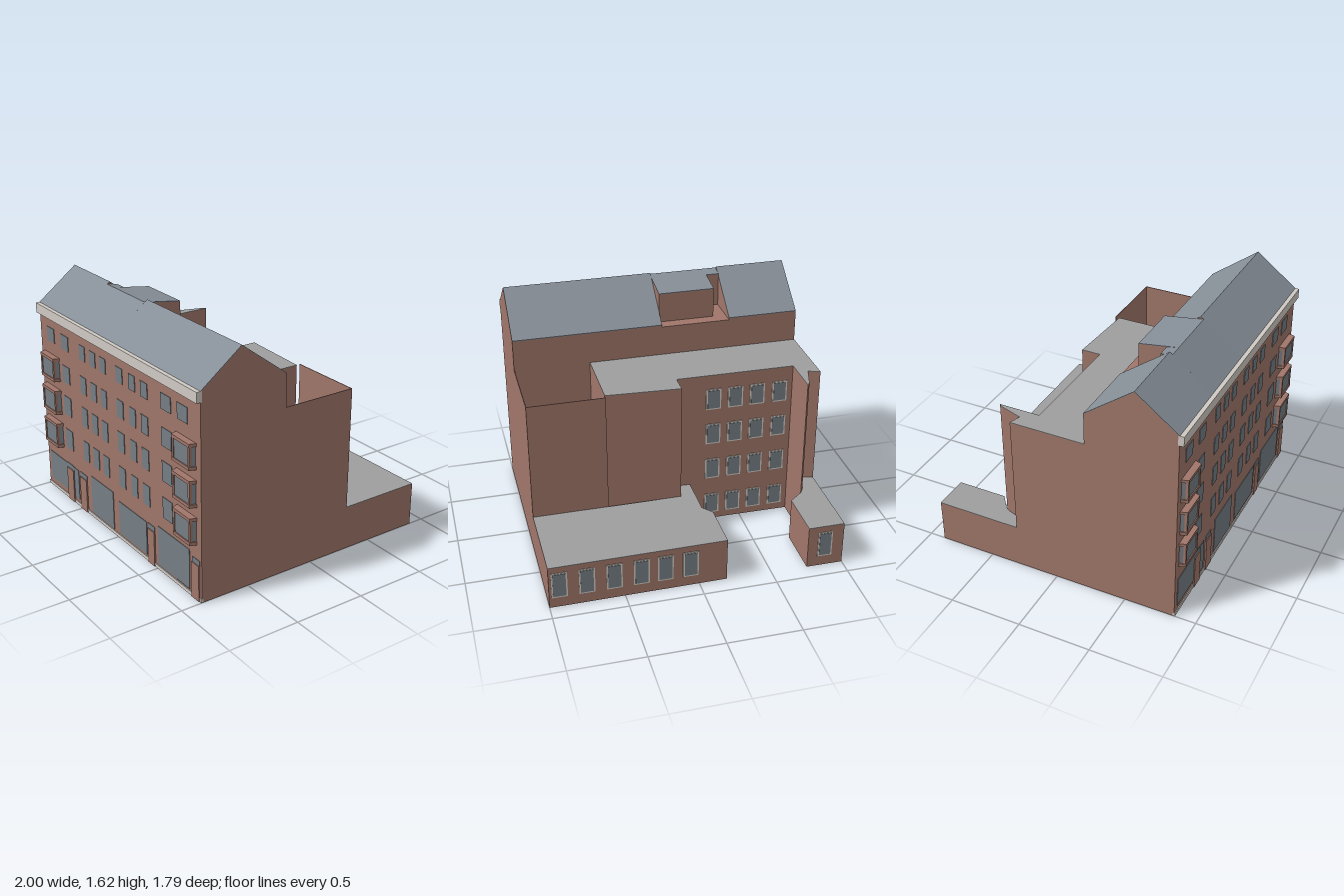
import * as THREE from 'three';

const mat = (name, color) => Object.assign(new THREE.MeshStandardMaterial({ color }), { name });

export function createModel() {
  const group = new THREE.Group();
  const brick = mat('brick', 0xa0766a);
  const slate = mat('slate', 0x868e97);
  const flatRoof = mat('flatRoof', 0x9e9e9e);
  const cream = mat('cream', 0xd0cac4);
  const glass = mat('glass', 0x757e84);

  const add = (name, geometry, material) => {
    const mesh = new THREE.Mesh(geometry, material);
    mesh.name = name;
    group.add(mesh);
    return mesh;
  };
  // box given by its extents
  const box = (name, m, x0, x1, y0, y1, z0, z1) => add(name,
    new THREE.BoxGeometry(x1 - x0, y1 - y0, z1 - z0)
      .translate((x0 + x1) / 2, (y0 + y1) / 2, (z0 + z1) / 2), m);
  const extrude = (pts, depth) => new THREE.ExtrudeGeometry(
    new THREE.Shape(pts.map(([a, b]) => new THREE.Vector2(a, b))), { depth, bevelEnabled: false });
  // side profile of [z, y] points swept along x
  const section = (name, m, pts, x0, x1) => add(name,
    extrude(pts.map(([z, y]) => [-z, y]), x1 - x0).rotateY(Math.PI / 2).translate(x0, 0, 0), m);
  // footprint of [x, z] points raised from y0 to y1
  const prism = (name, m, pts, y0, y1) => add(name,
    extrude(pts.map(([x, z]) => [x, -z]), y1 - y0).rotateX(-Math.PI / 2).translate(0, y0, 0), m);

  // Main house: gabled bays, with a roof terrace and dormer cut into the middle
  const F = 0.85, B = 0.225;
  const ridge = [0.56, 1.62], frontEave = [F, 1.4], backEave = [B, 1.37], cut = [0.58, 1.605];
  const floorY = 1.36;
  const slab = (name, a, b, x0, x1) => section(name, slate,
    [a, b, [b[0], b[1] + 0.005], [a[0], a[1] + 0.005]], x0, x1);
  for (const [x0, x1] of [[-1, -0.51], [-0.03, 1]]) {
    section('gabledHouse', brick, [[F, 0], frontEave, ridge, backEave, [B, 0]], x0, x1);
    slab('frontRoof', frontEave, ridge, x0, x1);
    slab('backRoof', ridge, backEave, x0, x1);
  }
  const parts = [[-0.51, -0.42, [0.5, 1.59]], [-0.42, -0.03, [0.31, 1.565]]];
  for (const [x0, x1, end] of parts) {
    section('terraceHouse', brick,
      [[F, 0], frontEave, cut, end, [end[0], floorY], [B, floorY], [B, 0]], x0, x1);
    slab('frontRoof', frontEave, cut, x0, x1);
    slab('dormerRoof', cut, end, x0, x1);
  }
  box('cornice', cream, -1, 1, 1.335, 1.405, F - 0.01, 0.878);

  // Rear buildings with flat roofs
  const flatBlock = (name, pts, h) => {
    prism(name, brick, pts, 0, h - 0.004);
    prism(name + 'Roof', flatRoof, pts, h - 0.004, h);
  };
  flatBlock('tallRear', [[-1, B], [0.48, B], [0.48, -0.27], [-0.03, -0.3], [-0.03, -0.165],
    [-0.85, -0.17], [-0.85, -0.455], [-0.87, -0.43], [-0.92, -0.27], [-1, -0.295]], 1.152);
  flatBlock('lowWing', [[-0.03, -0.165], [-0.03, -0.3], [1, -0.3], [1, -0.89], [-0.19, -0.88],
    [-0.19, -0.54], [-0.13, -0.47], [-0.13, -0.17]], 0.31);
  flatBlock('smallWing', [[-1, -0.295], [-0.92, -0.27], [-0.87, -0.43], [-0.85, -0.46],
    [-0.75, -0.54], [-0.75, -0.89], [-1, -0.89]], 0.31);

  // Open courtyard behind the house
  box('courtyardSideWall', brick, 0.995, 1, 0, 1.152, -0.3, B);
  box('courtyardBackWall', brick, 0.48, 1, 0, 1.152, -0.3, -0.295);
  box('courtyardFloor', brick, 0.48, 1, 0, 0.004, -0.3, B);

  // Framed windows facing the back
  const rearWindow = (x, y, z, w, h) => {
    box('rearWindowFrame', cream, x - w / 2, x + w / 2, y - h / 2, y + h / 2, z - 0.004, z + 0.002);
    const a = w / 2 - 0.01, b = h / 2 - 0.01;
    box('rearWindowGlass', glass, x - a, x + a, y - b, y + b, z - 0.007, z);
  };
  [0.93, 0.75, 0.57, 0.39, 0.23, 0.06].forEach(x =>
    rearWindow(x, 0.17, -0.883 - (x + 0.19) * 0.005, 0.105, 0.19));
  rearWindow(-0.87, 0.17, -0.89, 0.1, 0.19);
  for (const y of [0.13, 0.42, 0.7, 0.97])
    for (const x of [-0.76, -0.6, -0.445, -0.29]) rearWindow(x, y, -0.169, 0.105, 0.155);

  // Front windows: [x, width] columns on [y, height] rows
  const pane = (name, x0, x1, y0, y1, z = F) => box(name, glass, x0, x1, y0, y1, z - 0.002, z + 0.004);
  const columns = [[-0.65, 0.1], [-0.405, 0.075], [-0.265, 0.075], [-0.13, 0.075],
    [0.08, 0.08], [0.235, 0.075], [0.38, 0.08], [0.63, 0.11]];
  const rows = [[1.205, 0.105], [0.97, 0.125], [0.735, 0.14], [0.48, 0.145]];
  rows.forEach(([y, h], i) => {
    const all = i === 0 ? [[-0.85, 0.1], ...columns, [0.81, 0.11]] : columns;
    for (const [x, w] of all) pane('frontWindow', x - w / 2, x + w / 2, y - h / 2, y + h / 2);
  });

  // Bay windows with brick sill, cap and corner posts
  const bayPlan = (x, w, d) => [[x - w, F - 0.01], [x - w, F], [x - w + 0.015, F + d],
    [x + w - 0.015, F + d], [x + w, F], [x + w, F - 0.01]];
  for (const x of [-0.85, 0.845]) {
    for (const [y0, y1] of [[0.385, 0.57], [0.64, 0.82], [0.89, 1.062]]) {
      prism('bayGlass', glass, bayPlan(x, 0.1, 0.038), y0 + 0.01, y1 - 0.01);
      prism('baySill', brick, bayPlan(x, 0.108, 0.045), y0, y0 + 0.022);
      prism('bayCap', brick, bayPlan(x, 0.108, 0.045), y1 - 0.022, y1);
      for (const s of [-1, 1]) {
        const px = x + s * 0.085;
        box('bayPost', brick, px - 0.009, px + 0.009, y0, y1, F + 0.025, F + 0.043);
      }
    }
  }

  // Street level: shop windows, door, piers and plinth
  box('plinth', cream, -1, 1, 0, 0.025, F - 0.01, F + 0.006);
  const shops = [[-0.96, -0.7, 0.06, 0.28], [-0.605, -0.54, 0.05, 0.28], [-0.355, -0.055, 0.035, 0.315],
    [0.02, 0.37, 0.04, 0.28], [0.51, 0.87, 0.035, 0.315]];
  for (const s of shops) pane('shopWindow', ...s);
  for (const [x0, x1] of [[-0.7, -0.61], [-0.51, -0.42], [0.39, 0.47], [0.9, 0.98]]) {
    box('pier', brick, x0, x1, 0, 0.25, F - 0.01, F + 0.01);
    pane('pierLight', x0, x1, 0.25, 0.285);
  }
  return group;
}
